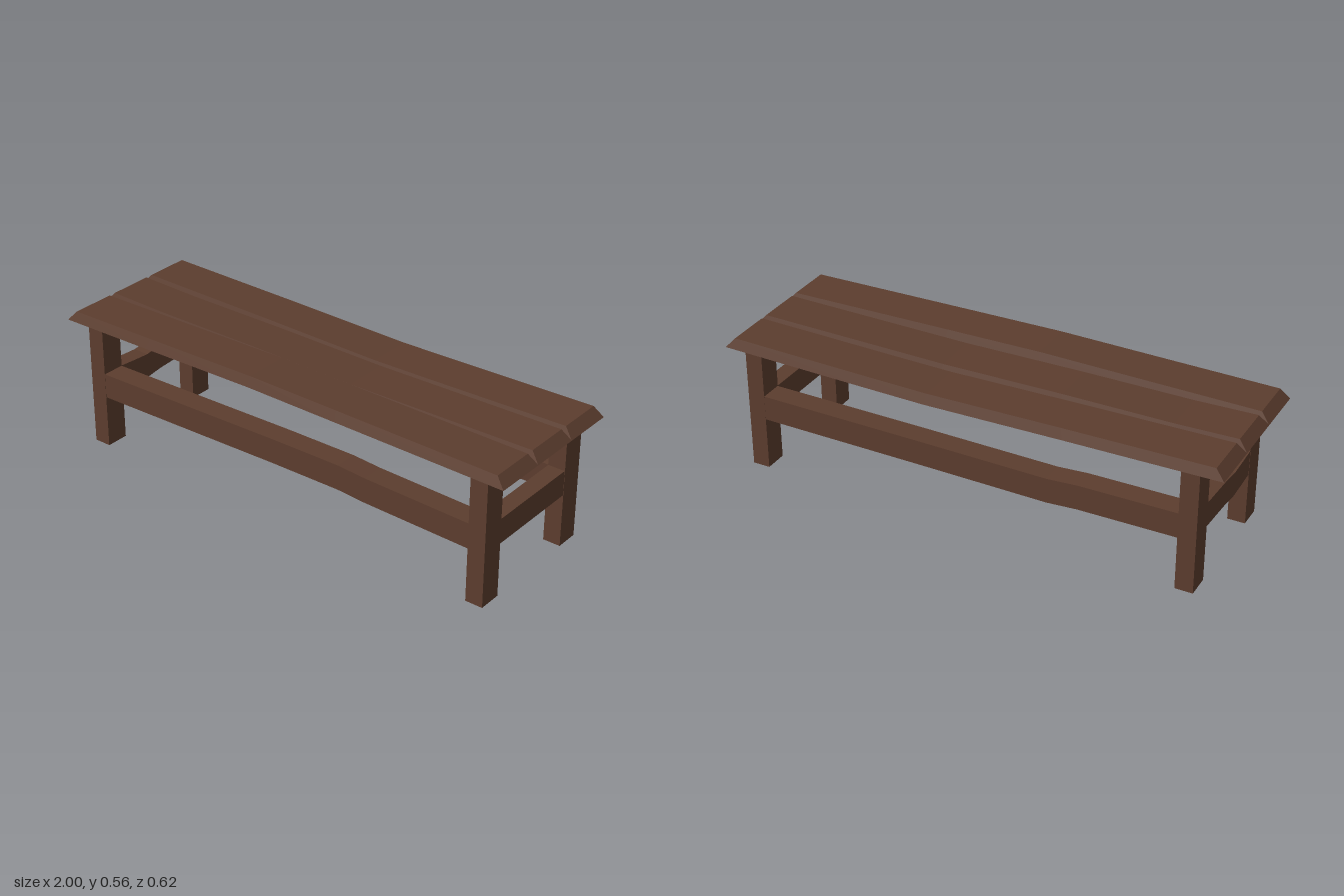
import * as THREE from 'three';

const wood = new THREE.MeshStandardMaterial({ color: 0x5c3d2e, flatShading: true });
wood.name = 'brown wood';
const hollowWood = wood;
hollowWood.side = THREE.DoubleSide;

// Warped beam along x: stations are [x, lift]; the top may be inset in length and width.
function beam(name, stations, { bottom, height, front, back, inset = 0, endScale = 1 }) {
  const pos = [];
  const quad = (a, b, c, d) => pos.push(...a, ...b, ...c, ...a, ...c, ...d);
  const rings = stations.map(([x, lift]) => {
    const y0 = bottom + lift, y1 = y0 + height, tx = x * endScale;
    return [[x, y0, front], [x, y0, back], [tx, y1, back + inset], [tx, y1, front - inset]];
  });
  for (let s = 0; s < rings.length - 1; s++) {
    const a = rings[s], b = rings[s + 1];
    for (let i = 0; i < 4; i++) {
      const j = (i + 1) % 4;
      quad(a[i], a[j], b[j], b[i]);
    }
  }
  const first = rings[0], last = rings[rings.length - 1];
  quad(...last);
  quad(first[3], first[2], first[1], first[0]);
  const geo = new THREE.BufferGeometry();
  geo.setAttribute('position', new THREE.Float32BufferAttribute(pos, 3));
  geo.computeVertexNormals();
  const mesh = new THREE.Mesh(geo, wood);
  mesh.name = name;
  return mesh;
}

// Square post with open ends
function leg(name, x, z) {
  const geo = new THREE.BoxGeometry(0.07, 0.505, 0.093).toNonIndexed();
  const keep = [];
  const p = geo.attributes.position, n = geo.attributes.normal;
  for (let i = 0; i < p.count; i++) {
    if (Math.abs(n.getY(i)) < 0.5) keep.push(p.getX(i), p.getY(i), p.getZ(i));
  }
  const open = new THREE.BufferGeometry();
  open.setAttribute('position', new THREE.Float32BufferAttribute(keep, 3));
  open.computeVertexNormals();
  const mesh = new THREE.Mesh(open, hollowWood);
  mesh.name = name;
  mesh.position.set(x, 0.2525, z);
  return mesh;
}

export function createModel() {
  const bench = new THREE.Group();
  bench.name = 'bench';

  // Seat planks, bevelled all round and slightly bowed
  const planks = [
    ['frontPlank', 0.313, [[-1, 0], [-0.6, 0.005], [-0.1, 0.012], [0.3, 0.008], [1, 0]]],
    ['middlePlank', 0.105, [[-1, 0], [-0.75, -0.006], [-0.3, -0.006], [0.2, -0.011], [1, 0]]],
    ['backPlank', -0.103, [[-1, 0], [-0.4, -0.007], [0.15, -0.016], [0.4, -0.012], [1, 0]]],
  ];
  for (const [name, front, stations] of planks) {
    bench.add(beam(name, stations, {
      bottom: 0.504, height: 0.039, front, back: front - 0.209, inset: 0.015, endScale: 0.965,
    }));
  }

  // Legs
  const legX = { Left: 0.895, Right: -0.87 }, legZ = { front: 0.2515, back: -0.24 };
  for (const [side, x] of Object.entries(legX)) {
    for (const [end, z] of Object.entries(legZ)) bench.add(leg(end + side + 'Leg', x, z));
  }

  // Long rails between the legs
  const rail = { bottom: 0.214, height: 0.1 };
  bench.add(beam('frontRail', [[-0.835, 0], [0, 0.016], [0.3, 0.018], [0.42, 0.01], [0.86, 0]],
    { ...rail, front: 0.297, back: 0.206 }));
  bench.add(beam('backRail', [[-0.835, 0], [-0.45, -0.003], [-0.33, -0.011], [0.2, -0.005], [0.86, 0]],
    { ...rail, front: -0.195, back: -0.286 }));

  // Short end rails, turned to run from back to front
  const ends = [
    ['leftRail', legX.Left, [[-0.193, 0], [0.205, 0]]],
    ['rightRail', legX.Right, [[-0.193, 0.012], [-0.01, 0], [0.06, -0.01], [0.13, -0.006], [0.205, 0]]],
  ];
  for (const [name, x, stations] of ends) {
    const mesh = beam(name, stations, { ...rail, front: 0.034, back: -0.034 });
    mesh.rotation.y = -Math.PI / 2;
    mesh.position.x = x;
    bench.add(mesh);
  }
  return bench;
}
